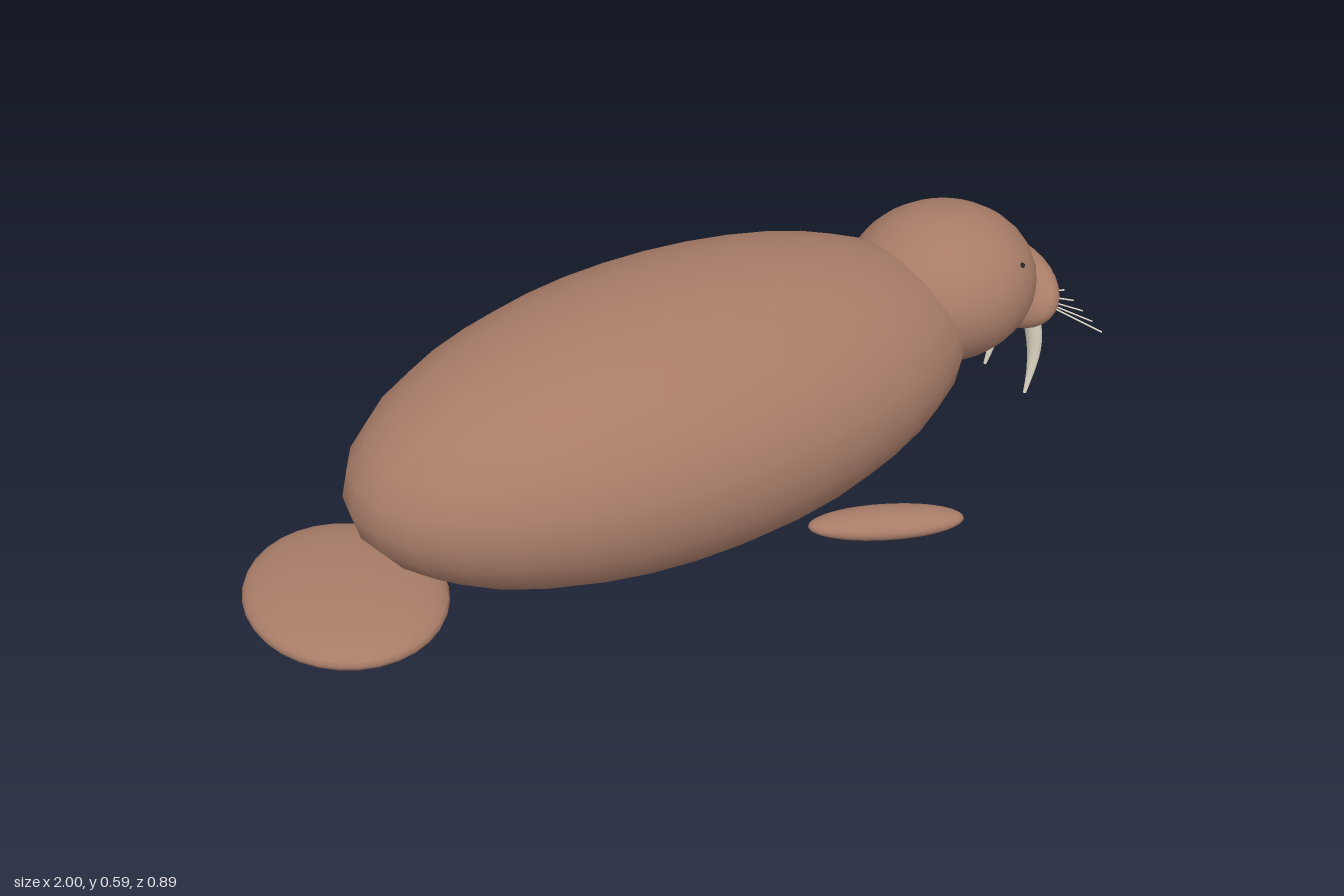
import * as THREE from 'three';

const skin = new THREE.MeshStandardMaterial({ name: 'brown skin', color: 0xa87c68 });
const ivory = new THREE.MeshStandardMaterial({ name: 'ivory', color: 0xdfd7c5 });
const dark = new THREE.MeshStandardMaterial({ name: 'dark eye', color: 0x2a2320 });

// Ellipsoid with its own radii
function ellipsoid(name, material, radii, position, segments = 32) {
  const geometry = new THREE.SphereGeometry(1, segments, segments / 2);
  geometry.scale(...radii);
  const mesh = new THREE.Mesh(geometry, material);
  mesh.name = name;
  mesh.position.set(...position);
  return mesh;
}

// Thin rod between two points
function rod(name, material, from, to, radius) {
  const a = new THREE.Vector3(...from), b = new THREE.Vector3(...to);
  const dir = b.clone().sub(a);
  const mesh = new THREE.Mesh(new THREE.CylinderGeometry(radius, radius, dir.length(), 6), material);
  mesh.name = name;
  mesh.position.copy(a).add(b).multiplyScalar(0.5);
  mesh.quaternion.setFromUnitVectors(new THREE.Vector3(0, 1, 0), dir.normalize());
  return mesh;
}

// Tapered tusk, bowed forward in the middle
function tusk(side) {
  const geometry = new THREE.CylinderGeometry(0.02, 0.004, 0.22, 16, 8);
  const p = geometry.attributes.position;
  for (let i = 0; i < p.count; i++) {
    const t = 0.5 - p.getY(i) / 0.22; // 0 at the root, 1 at the tip
    const bulge = 1 + 0.35 * Math.sin(Math.PI * t);
    p.setX(i, p.getX(i) * bulge + 0.02 * Math.sin(Math.PI * t));
    p.setZ(i, p.getZ(i) * bulge + side * 0.01 * t);
  }
  geometry.computeVertexNormals();
  const mesh = new THREE.Mesh(geometry, ivory);
  mesh.name = 'tusk';
  mesh.position.set(0.905, 0.135, side * 0.063);
  return mesh;
}

export function createModel() {
  const model = new THREE.Group();
  model.name = 'walrus';

  // Body, head and tail flipper
  model.add(ellipsoid('body', skin, [0.74, 0.295, 0.375], [-0.03, 0.3, 0]));
  model.add(ellipsoid('head', skin, [0.22, 0.173, 0.205], [0.685, 0.367, 0]));
  model.add(ellipsoid('tailFlipper', skin, [0.2, 0.05, 0.235], [-0.8, 0.12, 0]));

  // Muzzle leaning forward
  const muzzle = ellipsoid('muzzle', skin, [0.06, 0.095, 0.168], [0.877, 0.305, 0]);
  muzzle.rotation.z = -0.61;
  model.add(muzzle);

  for (const side of [1, -1]) {
    // Front flippers splayed outward
    const flipper = ellipsoid('frontFlipper', skin, [0.167, 0.03, 0.05], [0.285, 0.081, side * 0.355]);
    flipper.rotation.y = -side * 0.47;
    model.add(flipper);

    model.add(tusk(side));
    model.add(ellipsoid('eye', dark, [0.006, 0.006, 0.006], [0.785, 0.449, side * 0.154], 12));

    // Fan of whiskers
    for (let i = 0; i < 5; i++) {
      const f = i / 4;
      model.add(rod('whisker', ivory,
        [0.92 - 0.015 * f, 0.28 + 0.008 * f, side * (0.045 + 0.07 * f)],
        [0.998, 0.272 - 0.042 * f, side * (0.07 + 0.135 * f)], 0.002));
    }
  }
  return model;
}
